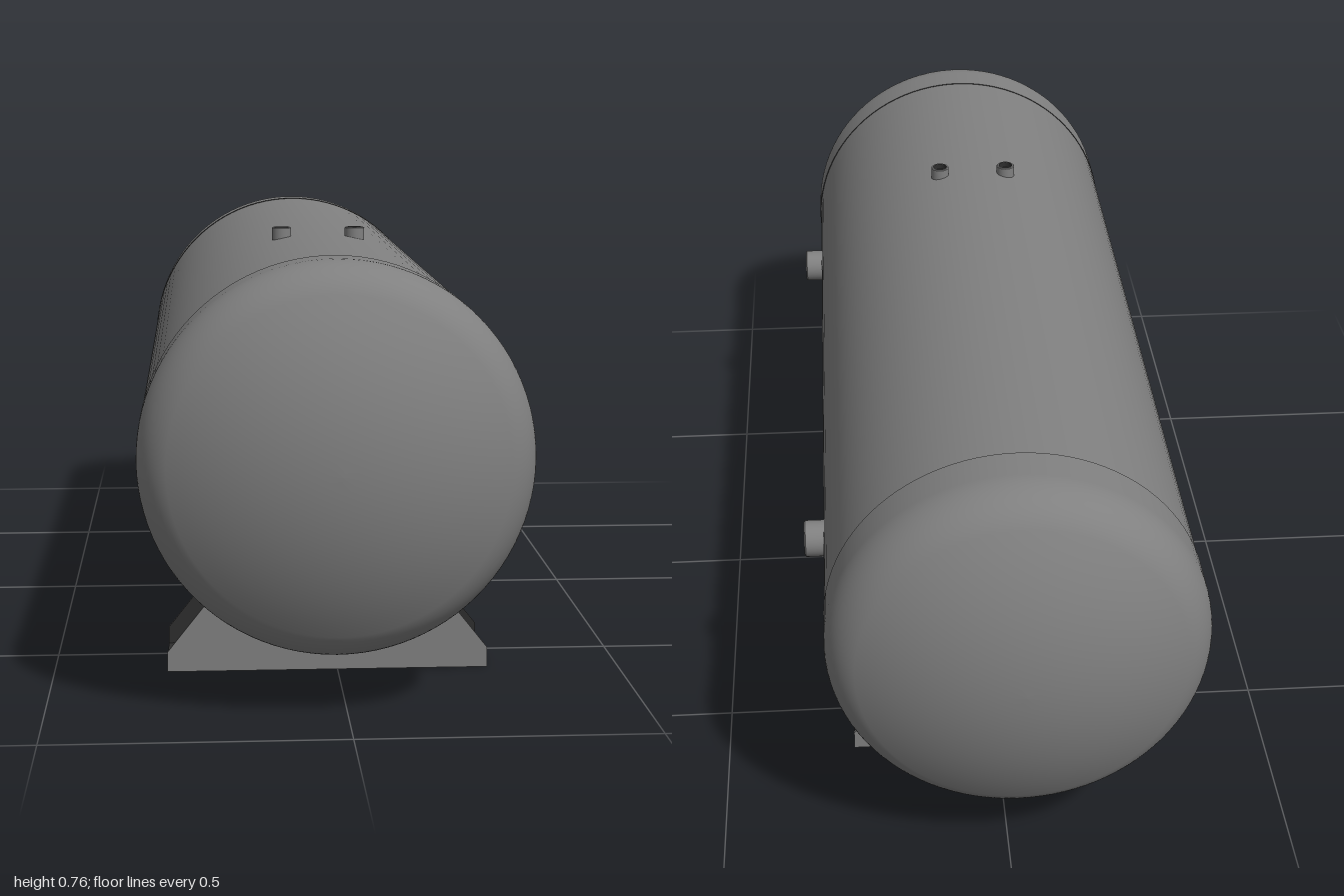
import * as THREE from 'three';

const AXIS_X = -0.017, AXIS_Y = 0.423;
const R = 0.327, SHELL_R = 0.3255, SEAM_Z = 0.775;

export function createModel() {
  const steel = new THREE.MeshStandardMaterial({ color: 0x808080 });
  steel.name = 'greySteel';
  const dark = new THREE.MeshStandardMaterial({ color: 0x2e2e2e });
  dark.name = 'darkInterior';

  const model = new THREE.Group();
  model.name = 'pressureTank';

  const add = (parent, name, geometry, material) => {
    const mesh = new THREE.Mesh(geometry, material);
    mesh.name = name;
    parent.add(mesh);
    return mesh;
  };

  // Everything hangs off the tank axis
  const tank = new THREE.Group();
  tank.name = 'tank';
  tank.position.set(AXIS_X, AXIS_Y, 0);
  model.add(tank);

  // Cylindrical shell
  const shell = new THREE.CylinderGeometry(SHELL_R, SHELL_R, SEAM_Z * 2, 96, 1, true);
  add(tank, 'shell', shell.rotateX(Math.PI / 2), steel);

  // Dished ends: straight skirt, tight knuckle, shallow crown
  const knuckle = 0.1, crown = 0.55;
  const theta = Math.asin((R - knuckle) / (crown - knuckle));
  const knuckleZ = 1 - crown + (crown - knuckle) * Math.cos(theta);
  const profile = [new THREE.Vector2(R, SEAM_Z)];
  for (let i = 0; i <= 14; i++) {
    const a = (Math.PI / 2 - theta) * (i / 14);
    profile.push(new THREE.Vector2(R - knuckle + knuckle * Math.cos(a), knuckleZ + knuckle * Math.sin(a)));
  }
  for (let i = 1; i <= 12; i++) {
    const a = theta * (1 - i / 12);
    profile.push(new THREE.Vector2(crown * Math.sin(a), 1 - crown + crown * Math.cos(a)));
  }
  for (const side of [1, -1]) {
    const end = new THREE.Group();
    end.name = side > 0 ? 'frontHead' : 'backHead';
    end.rotation.x = side * Math.PI / 2;
    tank.add(end);
    add(end, 'dishedEnd', new THREE.LatheGeometry(profile, 96), steel);
    // Narrow step where the head overlaps the shell
    const lip = add(end, 'seamLip', new THREE.RingGeometry(SHELL_R - 0.002, R, 96), dark);
    lip.rotation.x = Math.PI / 2;
    lip.position.y = SEAM_Z;
  }

  // Bored pipe socket, built along +y from the shell and then aimed
  const socket = (name, radius, bore, tip, floor) => {
    const g = new THREE.Group();
    g.name = name;
    const base = 0.29, c = radius * 0.08;
    add(g, 'collar', new THREE.CylinderGeometry(radius, radius, tip - c - base, 32, 1, true)
      .translate(0, (tip - c + base) / 2, 0), steel);
    add(g, 'chamfer', new THREE.CylinderGeometry(radius - c, radius, c, 32, 1, true)
      .translate(0, tip - c / 2, 0), steel);
    add(g, 'rim', new THREE.RingGeometry(bore, radius - c, 32)
      .rotateX(-Math.PI / 2).translate(0, tip, 0), steel);
    // Scaling x by -1 with reversed winding is avoided by building the bore top-down
    const wall = [new THREE.Vector2(bore, tip), new THREE.Vector2(bore, floor)];
    add(g, 'bore', new THREE.LatheGeometry(wall, 32), dark);
    add(g, 'boreFloor', new THREE.CircleGeometry(bore, 32)
      .rotateX(-Math.PI / 2).translate(0, floor, 0), dark);
    tank.add(g);
    return g;
  };

  // Two side ports on the left
  for (const z of [0.53, -0.53]) {
    const port = socket(z > 0 ? 'frontSidePort' : 'backSidePort', 0.033, 0.027, 0.36, 0.328);
    port.rotation.z = -Math.PI / 2;
    port.position.z = z;
  }
  // Two small fittings on top
  for (const x of [-0.068, 0.068]) {
    const fitting = socket(x > 0 ? 'leftTopFitting' : 'rightTopFitting', 0.018, 0.0135, 0.338, 0.327);
    fitting.position.set(x, 0, 0.305);
  }
  // Drain underneath
  const drain = socket('drain', 0.011, 0.008, 0.344, 0.328);
  drain.rotation.z = Math.PI;
  drain.position.z = 0.71;

  // Saddle feet: folded channels, open at both sides
  const t = 0.005, depth = 0.17, half = 0.284, topHalf = 0.197, topY = 0.145;
  const cheek = new THREE.Shape();
  const arc = Math.asin((AXIS_Y - topY) / SHELL_R);
  cheek.moveTo(-half, 0);
  cheek.lineTo(half, 0);
  cheek.lineTo(half, 0.035);
  cheek.lineTo(topHalf, topY);
  cheek.absarc(0, AXIS_Y, SHELL_R, -arc, -Math.PI + arc, true);
  cheek.lineTo(-topHalf, topY);
  cheek.lineTo(-half, 0.035);
  cheek.closePath();

  const sole = new THREE.Shape();
  sole.moveTo(-half, -depth / 2 + t);
  sole.lineTo(half, -depth / 2 + t);
  sole.lineTo(half, depth / 2 - t);
  sole.lineTo(-half, depth / 2 - t);
  sole.closePath();
  for (const x of [-0.245, 0.245]) {
    const hole = new THREE.Path();
    hole.absarc(x, 0, 0.007, 0, Math.PI * 2, true);
    sole.holes.push(hole);
  }

  const cheekGeometry = new THREE.ExtrudeGeometry(cheek, { depth: t, bevelEnabled: false, curveSegments: 32 });
  const liningGeometry = new THREE.ShapeGeometry(cheek, 32);
  const soleGeometry = new THREE.ExtrudeGeometry(sole, { depth: t, bevelEnabled: false }).rotateX(-Math.PI / 2);
  const soleLining = new THREE.ShapeGeometry(sole).rotateX(-Math.PI / 2);

  for (const z of [0.53, -0.53]) {
    const foot = new THREE.Group();
    foot.name = z > 0 ? 'frontFoot' : 'backFoot';
    foot.position.set(AXIS_X, 0, z);
    model.add(foot);
    add(foot, 'sole', soleGeometry, steel);
    add(foot, 'soleLining', soleLining, dark).position.y = t + 0.0006;
    for (const side of [1, -1]) {
      const plate = new THREE.Group();
      plate.name = side > 0 ? 'frontCheek' : 'backCheek';
      plate.rotation.y = side > 0 ? 0 : Math.PI;
      foot.add(plate);
      add(plate, 'cheekPlate', cheekGeometry, steel).position.z = depth / 2 - t;
      // Inner face of the plate
      const lining = add(plate, 'cheekLining', liningGeometry, dark);
      lining.rotation.y = Math.PI;
      lining.position.z = depth / 2 - t - 0.0006;
    }
  }
  return model;
}
